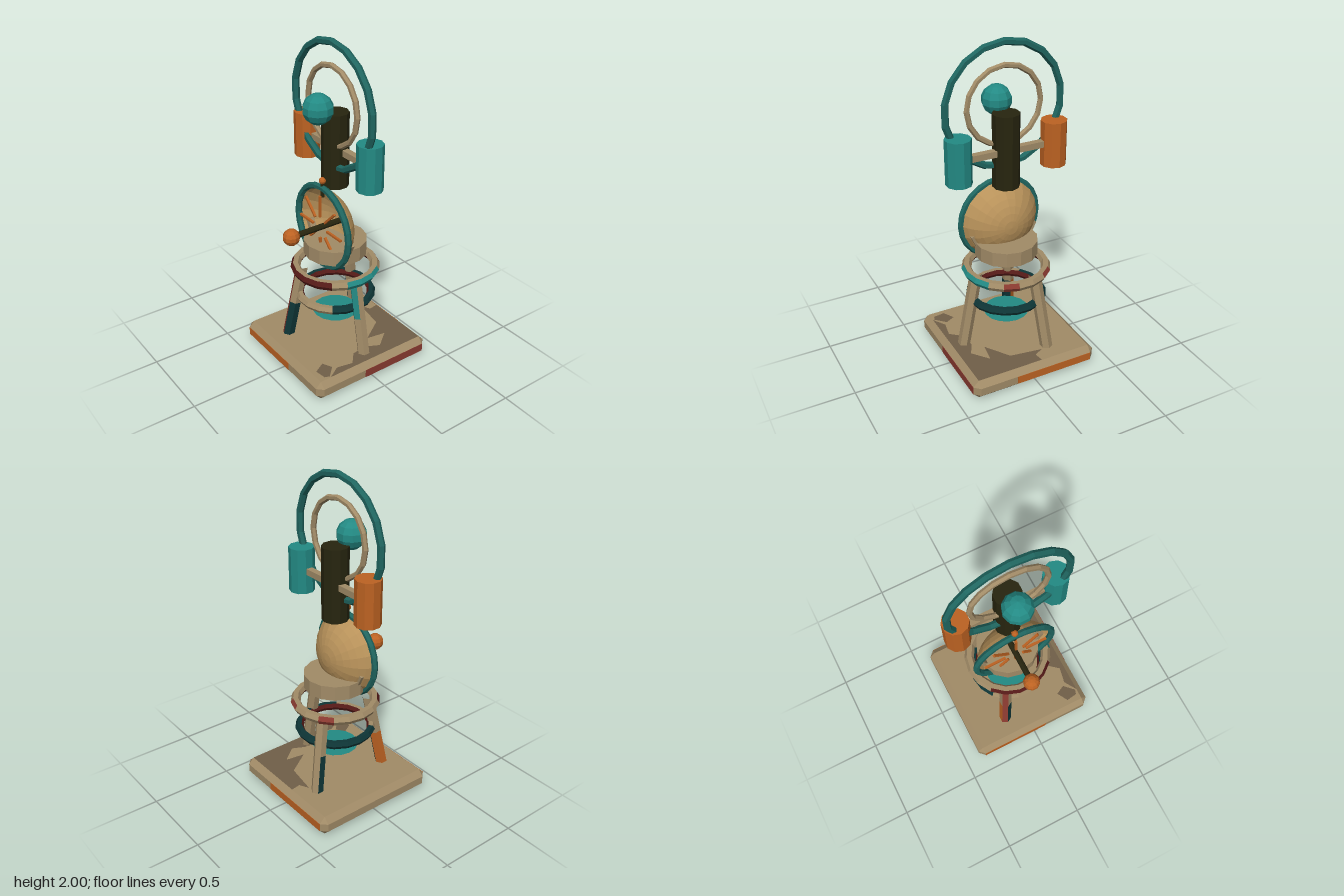
import * as THREE from 'three';
import { ConvexGeometry } from 'three/addons/geometries/ConvexGeometry.js';

const mat = (name, color, extra = {}) => {
  const m = new THREE.MeshStandardMaterial({ color, ...extra });
  m.name = name;
  return m;
};
const V = (x, y, z) => new THREE.Vector3(x, y, z);

export function createModel() {
  const group = new THREE.Group();
  const tan = mat('tan', 0xa18b67), gold = mat('gold', 0xb8925a, { side: THREE.DoubleSide });
  const orange = mat('orange', 0xbc6222), teal = mat('teal', 0x238a84);
  const darkTeal = mat('dark teal', 0x1f655f), deepTeal = mat('deep teal', 0x0e3536);
  const red = mat('red', 0x8a3a30), darkRed = mat('dark red', 0x551a17);
  const olive = mat('olive black', 0x27250f), brown = mat('brown', 0x705f48);

  // Faceted mesh
  const add = (name, geo, material, x = 0, y = 0, z = 0) => {
    const g = geo.index ? geo.toNonIndexed() : geo;
    g.computeVertexNormals();
    const mesh = new THREE.Mesh(g, material);
    mesh.name = name;
    mesh.position.set(x, y, z);
    group.add(mesh);
    return mesh;
  };

  // Faceted mesh with a colour chosen for each face from its centre and normal
  const addPainted = (name, geo, palette, pick, step = 6) => {
    const mesh = add(name, geo, palette), g = mesh.geometry;
    const pos = g.attributes.position, nor = g.attributes.normal;
    g.clearGroups();
    for (let i = 0; i < pos.count; i += step) {
      const c = V(0, 0, 0), p = V(0, 0, 0);
      for (let j = i; j < i + step; j++) c.add(p.fromBufferAttribute(pos, j));
      const n = V(0, 0, 0).fromBufferAttribute(nor, i);
      g.addGroup(i, step, palette.indexOf(pick(c.divideScalar(step), n)));
    }
    return mesh;
  };

  // Straight bar between two points
  const bar = (a, b, r, sides, rows = 1, open = false) => {
    const d = b.clone().sub(a);
    const g = new THREE.CylinderGeometry(r, r, d.length(), sides, rows, open);
    g.applyQuaternion(new THREE.Quaternion().setFromUnitVectors(V(0, 1, 0), d.normalize()));
    const m = a.clone().add(b).multiplyScalar(0.5);
    return g.translate(m.x, m.y, m.z);
  };
  const flatRing = (R, r, y) => new THREE.TorusGeometry(R, r, 6, 18).rotateX(Math.PI / 2).translate(0, y, 0);

  // Chamfered base
  const pts = [], h = 0.405, c = 0.035, hy = 0.06;
  for (const sx of [-1, 1]) for (const sy of [-1, 1]) for (const sz of [-1, 1]) {
    pts.push(V(sx * h, 0.06 + sy * (hy - c), sz * (h - c)),
      V(sx * (h - c), 0.06 + sy * hy, sz * (h - c)),
      V(sx * (h - c), 0.06 + sy * (hy - c), sz * h));
  }
  addPainted('base', new ConvexGeometry(pts), [tan, olive], (p, n) => (n.y < -0.9 ? olive : tan), 3);

  // Painted panels on the base edges
  add('frontPanel', new THREE.BoxGeometry(0.45, 0.05, 0.004), orange, -0.145, 0.06, h);
  add('backPanel', new THREE.BoxGeometry(0.5, 0.05, 0.004), orange, -0.12, 0.06, -h);
  add('sidePanel', new THREE.BoxGeometry(0.004, 0.05, 0.44), red, h, 0.06, -0.15);

  // Worn patches on the base top
  const patches = [
    [[-0.05, -0.37], [0.37, -0.37], [0.37, 0.3], [0.32, 0.22], [0.34, 0.12], [0.27, 0.06], [0.26, -0.04],
      [0.3, -0.12], [0.22, -0.22], [0.2, -0.1], [0.1, -0.25], [-0.1, -0.28], [-0.04, -0.31]],
    [[0.24, 0.27], [0.3, 0.24], [0.36, 0.3], [0.35, 0.33], [0.28, 0.34]],
  ];
  for (const p of patches) {
    const s = new THREE.Shape(p.map(([x, z]) => new THREE.Vector2(x, -z)));
    add('wornPatch', new THREE.ShapeGeometry(s).rotateX(-Math.PI / 2), brown, 0, 0.1215, 0);
  }

  // Three splayed legs
  const legPaint = [
    (p, n) => (n.z > 0.4 && p.y > 0.33 ? teal : tan),
    (p, n) => {
      if (p.y > 0.35) return n.x < 0.1 && n.z > 0 ? red : tan;
      return n.x > 0.3 ? deepTeal : n.z > 0 ? red : orange;
    },
    (p, n) => (p.y < 0.36 && n.x < -0.3 && n.z > -0.1 ? deepTeal : tan),
  ];
  legPaint.forEach((pick, i) => {
    const a = (i * 2 * Math.PI) / 3, cx = Math.cos(a), cz = Math.sin(a);
    const geo = bar(V(0.295 * cx, 0.1, 0.295 * cz), V(0.2 * cx, 0.6, 0.2 * cz), 0.038, 6, 2, true);
    addPainted('leg', geo, [tan, teal, red, deepTeal, orange], pick);
  });

  // Rings tying the legs
  addPainted('upperRing', flatRing(0.24, 0.03, 0.597), [tan, darkRed, red, teal], (p, n) => {
    const outward = p.x * n.x + p.z * n.z > 0;
    if (!outward) return n.y > 0.3 ? tan : darkRed;
    if (p.z > 0.1 && Math.abs(p.x) < 0.19) return darkRed;
    if (p.x > 0.2 && p.z > -0.13 && p.z < 0.05) return teal;
    if (p.z < -0.13 && (p.x < -0.1 || (p.x > 0.02 && p.x < 0.15))) return red;
    return tan;
  });
  addPainted('lowerRing', flatRing(0.22, 0.026, 0.412), [tan, darkRed, deepTeal], (p, n) => {
    if (p.x * n.x + p.z * n.z < 0) return darkRed;
    return p.z > 0.13 ? tan : deepTeal;
  });
  add('floorDisc', new THREE.CircleGeometry(0.14, 16).rotateX(-Math.PI / 2), teal, 0, 0.28, 0);

  // Turntable and cradle lugs
  add('turntable', new THREE.CylinderGeometry(0.19, 0.19, 0.09, 14), tan, 0, 0.742, 0);
  for (const s of [-1, 1]) {
    add('cradleLug', new THREE.BoxGeometry(0.03, 0.08, 0.04), tan, s * 0.185, 0.8, 0.04).rotation.z = -s * 0.45;
  }

  // Dish: spherical cap opening forward
  const dishY = 0.887, R = 0.279, profile = [];
  for (let i = 0; i <= 7; i++) {
    const a = (i / 7) * Math.asin(0.25 / R);
    profile.push(new THREE.Vector2(R * Math.sin(a), R * (1 - Math.cos(a))));
  }
  add('dish', new THREE.LatheGeometry(profile, 20).rotateX(Math.PI / 2), gold, 0, dishY, -0.072);
  add('dishRim', new THREE.TorusGeometry(0.25, 0.02, 6, 24), darkTeal, 0, dishY, 0.09);

  // Radial spokes
  for (let i = 0; i < 8; i++) {
    const a = (i * Math.PI) / 4;
    const geo = new THREE.BoxGeometry(0.135, 0.012, 0.014).translate(0.135, 0, 0).rotateZ(a);
    add('spoke', geo, orange, 0, dishY, 0.108);
  }

  // Feed horn and top bead
  add('feedRod', bar(V(0, dishY, -0.06), V(0, dishY, 0.3), 0.018, 8), olive);
  add('feedBall', new THREE.SphereGeometry(0.051, 10, 7), orange, 0, dishY, 0.308);
  add('beadRod', bar(V(0, 1.08, 0.09), V(0, 1.18, 0.09), 0.012, 6), olive);
  add('bead', new THREE.SphereGeometry(0.021, 8, 6), orange, 0, 1.182, 0.09);

  // Mast, crossbar and side canisters
  add('mast', new THREE.CylinderGeometry(0.08, 0.08, 0.445, 10), olive, 0, 1.357, 0);
  add('crossbar', new THREE.BoxGeometry(0.56, 0.038, 0.04), tan, 0, 1.356, -0.013);
  for (const s of [-1, 1]) {
    add('canister', new THREE.CylinderGeometry(0.077, 0.077, 0.272, 10), s < 0 ? orange : teal, s * 0.3, 1.353, -0.013);
  }

  // Halo rings and crown ball
  add('outerHalo', new THREE.TorusGeometry(0.36, 0.022, 6, 18).rotateZ(Math.PI / 2), darkTeal, 0, 1.617, 0.022);
  add('innerHalo', new THREE.TorusGeometry(0.229, 0.017, 6, 16).rotateZ(Math.PI / 2), tan, 0, 1.617, 0.022);
  add('crownBall', new THREE.SphereGeometry(0.089, 10, 7), teal, 0, 1.62, 0.115);

  return group;
}
